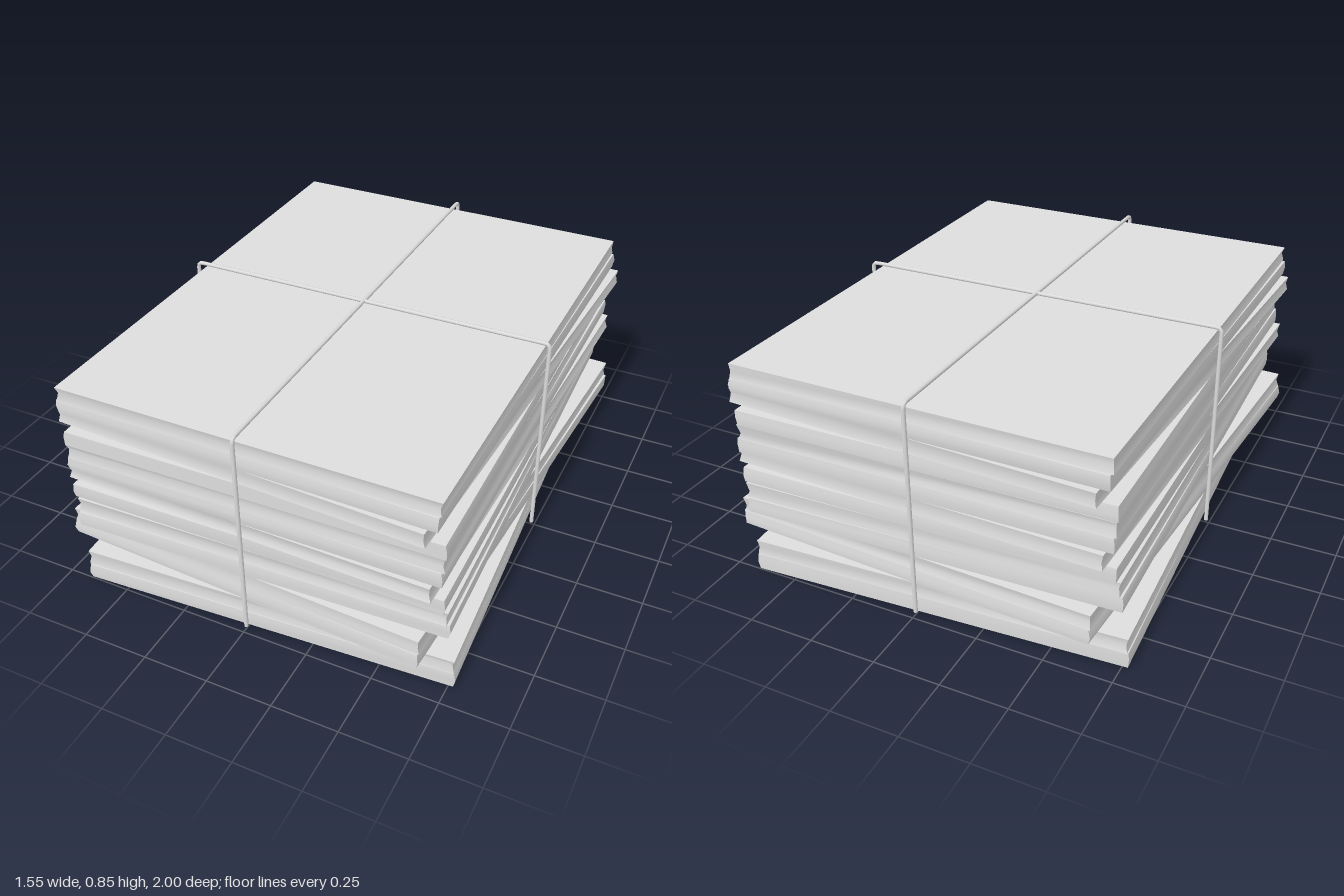
import * as THREE from 'three';

const WIDTH = 1.43, DEPTH = 1.91, LAYER = 0.058, BASE = 0.003;

// Turn of each paper around y, from the bottom up
const TURNS = [0.058, 0.054, -0.056, -0.05, 0.034, 0.027, 0.015, -0.025, 0.004, 0.012, 0.014, -0.045, -0.012, -0.002];

function seeded(seed) {
  return () => {
    seed = (seed * 16807) % 2147483647;
    return seed / 2147483647;
  };
}

// A thick folded paper: a slab whose edge is lightly creased halfway up and slightly uneven
function paperGeometry(random, bottom, top, crease) {
  const geometry = new THREE.BoxGeometry(WIDTH, top - bottom, DEPTH, 1, 2, 1);
  const pos = geometry.attributes.position;
  const shifts = {};
  for (let i = 0; i < pos.count; i++) {
    const x = pos.getX(i), y = pos.getY(i), z = pos.getZ(i);
    const key = [x, y, z].map((v) => Math.sign(Math.round(v * 1000))).join();
    shifts[key] ??= [random() - 0.5, random() - 0.5, random() - 0.5];
    const [a, b, c] = shifts[key];
    const middle = Math.abs(y) < 0.001;
    const inset = middle ? crease : 0;
    pos.setXYZ(i,
      x - Math.sign(x) * inset + a * 0.006,
      y + (bottom + top) / 2 + (middle ? b * 0.016 : 0),
      z - Math.sign(z) * inset + c * 0.006);
  }
  geometry.computeVertexNormals();
  return geometry;
}

// A cord running up one side, over the top and down the other, with rounded bends
function cordGeometry(half, top) {
  const r = 0.02, bottom = 0.012;
  const v = (x, y) => new THREE.Vector3(x, y, 0);
  const path = new THREE.CurvePath();
  path.add(new THREE.LineCurve3(v(-half, bottom), v(-half, top - r)));
  path.add(new THREE.QuadraticBezierCurve3(v(-half, top - r), v(-half, top), v(-half + r, top)));
  path.add(new THREE.LineCurve3(v(-half + r, top), v(half - r, top)));
  path.add(new THREE.QuadraticBezierCurve3(v(half - r, top), v(half, top), v(half, top - r)));
  path.add(new THREE.LineCurve3(v(half, top - r), v(half, bottom)));
  return new THREE.TubeGeometry(path, 240, 0.008, 8, false);
}

export function createModel() {
  const model = new THREE.Group();
  model.name = 'tiedPaperStack';

  // Papers and cords share one pale grey
  const paleGrey = new THREE.MeshStandardMaterial({ name: 'pale grey', color: 0xdddddd, side: THREE.DoubleSide });

  // Stack of papers, each turned a little differently
  const stack = new THREE.Group();
  stack.name = 'paperStack';
  const random = seeded(17);
  TURNS.forEach((turn, i) => {
    const bottom = i === 0 ? 0 : BASE + i * LAYER;
    const crease = i % 2 ? 0.006 : -0.003;
    const mesh = new THREE.Mesh(paperGeometry(random, bottom, BASE + (i + 1) * LAYER, crease), paleGrey);
    mesh.name = `paper${i + 1}`;
    mesh.rotation.y = turn;
    stack.add(mesh);
  });
  model.add(stack);

  // Two crossed cords
  const crossCord = new THREE.Mesh(cordGeometry(0.738, 0.84), paleGrey);
  crossCord.name = 'crossCord';
  const longCord = new THREE.Mesh(cordGeometry(0.978, 0.841), paleGrey);
  longCord.name = 'longCord';
  longCord.rotation.y = Math.PI / 2;
  model.add(crossCord, longCord);

  return model;
}
